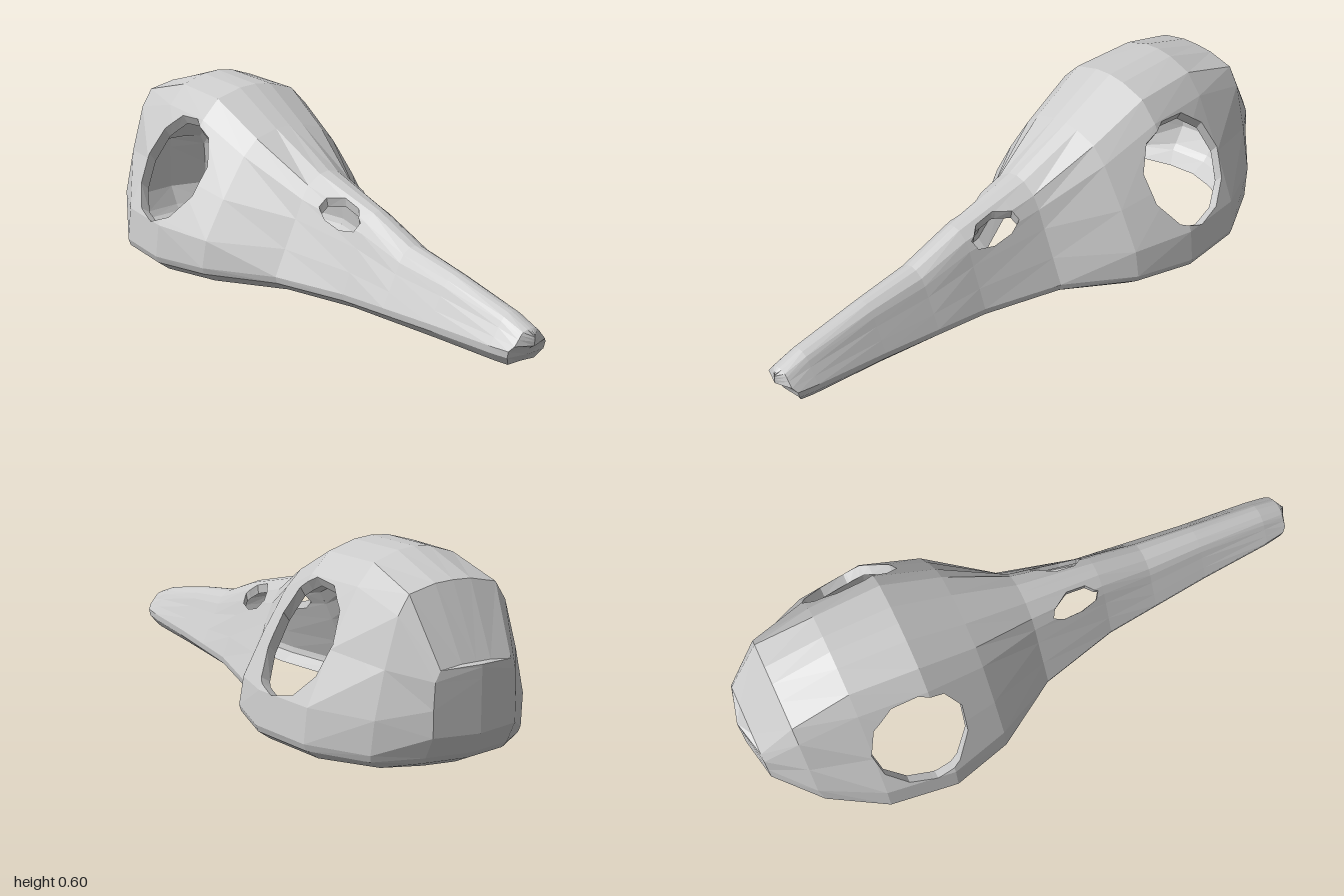
import * as THREE from 'three';

// Half cross-sections as [width fraction, height fraction], crown to base
const SHAPES = [
  [[0, 1], [0.35, 1], [0.85, 0.97], [0.97, 0.85], [1, 0.55], [1, 0.25], [1, 0]],               // back plate
  [[0, 1], [0.15, 0.99], [0.37, 0.94], [0.52, 0.82], [0.77, 0.5], [0.97, 0.2], [1, 0]],        // cranium
  [[0, 1], [0.16, 0.98], [0.38, 0.88], [0.5, 0.75], [0.62, 0.56], [0.82, 0.27], [1, 0]],       // beak
];
// Stations along the skull: x, half width, height, shape blend, undercut of the base
const STATIONS = [
  [-1, 0, 0.33, 0, 0.1], [-0.97, 0.145, 0.33, 0, 0.09], [-0.85, 0.27, 0.545, 0.6, 0.03],
  [-0.65, 0.38, 0.605, 1, 0], [-0.42, 0.41, 0.595, 1, 0], [-0.22, 0.355, 0.49, 1.1, 0],
  [0, 0.215, 0.38, 2, 0], [0.27, 0.145, 0.305, 2, 0], [0.45, 0.125, 0.235, 2, 0],
  [0.65, 0.103, 0.2, 2, 0], [0.9, 0.083, 0.145, 2, 0], [0.98, 0.073, 0.115, 2, -0.03],
  [1, 0, 0.1, 2, -0.05],
];
const BASE = 0.055;
const UNDERCUT = [0, 0, 0, 0, 0, 0, 0.4, 0.6, 1.2];

// Points of one half section, including the lip that curls in under the base
function section([x, w, h, t, cut]) {
  const k = Math.min(1, Math.floor(t));
  const pts = SHAPES[k].map(([z, y], i) => {
    const [z2, y2] = SHAPES[k + 1][i];
    return [THREE.MathUtils.lerp(z, z2, t - k) * w,
      BASE + (h - BASE) * THREE.MathUtils.lerp(y, y2, t - k)];
  });
  pts.push([w * 0.98, 0.033], [w - Math.min(0.05, w * 0.3), 0.003]);
  return pts.map(([z, y], i) => new THREE.Vector3(x + cut * UNDERCUT[i], y, z));
}

// Convex hole outline in the side plane, counterclockwise
function hole(cx, cy, rx, ry, sides, tilt) {
  return Array.from({ length: sides }, (_, i) => {
    const a = (i / sides) * Math.PI * 2 + 0.2;
    const x = rx * Math.cos(a), y = ry * Math.sin(a);
    return new THREE.Vector2(cx + x, cy + y + x * tilt);
  });
}

const sideOf = (p, a, b) =>
  ((b.x - a.x) * (p.y - a.y) - (b.y - a.y) * (p.x - a.x)) / a.distanceTo(b);

// Split a polygon by a line into its [inside, outside] parts
function split(poly, a, b) {
  const inside = [], outside = [];
  poly.forEach((p, i) => {
    const q = poly[(i + 1) % poly.length];
    const d = sideOf(p, a, b), e = sideOf(q, a, b);
    (d >= 0 ? inside : outside).push(p);
    if ((d >= 0) !== (e >= 0)) {
      const m = p.clone().lerp(q, d / (d - e));
      inside.push(m);
      outside.push(m);
    }
  });
  return [inside, outside];
}

// Cut a hole from polygons; edges left on the outline are added to rim
function cutHole(polys, outline, rim) {
  const kept = [];
  for (const poly of polys) {
    let rest = poly;
    const pieces = [];
    outline.forEach((a, i) => {
      if (rest.length < 3) return;
      const [inside, outside] = split(rest, a, outline[(i + 1) % outline.length]);
      if (outside.length > 2) pieces.push(outside);
      rest = inside;
    });
    if (rest.length < 3) { kept.push(poly); continue; }
    kept.push(...pieces);
    rest.forEach((p, j) => {
      const q = rest[(j + 1) % rest.length];
      const onEdge = outline.some((a, i) => {
        const b = outline[(i + 1) % outline.length];
        return Math.abs(sideOf(p, a, b)) < 1e-6 && Math.abs(sideOf(q, a, b)) < 1e-6;
      });
      if (onEdge && p.distanceTo(q) > 1e-6) rim.push([p, q]);
    });
  }
  return kept;
}

// Matching point on the inner wall
const inner = (p) => new THREE.Vector3(
  p.x - 0.025 * p.x ** 5, p.y - 0.03 * Math.min(1, p.y / 0.3), p.z * 0.92);
const mirror = (poly) => poly.map((p) => new THREE.Vector3(p.x, p.y, -p.z)).reverse();
const wall = ([p, q]) => [p, q, inner(q), inner(p)];

function meshOf(name, polys) {
  const pos = [];
  for (const poly of polys)
    for (let i = 1; i < poly.length - 1; i++)
      for (const p of [poly[0], poly[i], poly[i + 1]]) pos.push(p.x, p.y, p.z);
  const geo = new THREE.BufferGeometry();
  geo.setAttribute('position', new THREE.Float32BufferAttribute(pos, 3));
  geo.computeVertexNormals();
  const mesh = new THREE.Mesh(geo, new THREE.MeshStandardMaterial({
    color: 0xcccccc, flatShading: true, side: THREE.DoubleSide }));
  mesh.name = name;
  return mesh;
}

export function createModel() {
  const rows = STATIONS.map(section);
  let polys = [];
  const lip = [], eyeRim = [], nostrilRim = [];

  // Loft the left half between stations
  for (let s = 0; s < rows.length - 1; s++) {
    const A = rows[s], B = rows[s + 1], last = A.length - 1;
    for (let i = 0; i < last; i++) {
      polys.push([A[i], A[i + 1], B[i + 1]], [A[i], B[i + 1], B[i]]);
    }
    lip.push([A[last], B[last]]);
  }
  // Drop slivers where the ends close on the centre line
  polys = polys.filter(([a, b, c]) => new THREE.Triangle(a, b, c).getArea() > 1e-7);

  // Eye sockets and nostrils
  polys = cutHole(polys, hole(-0.49, 0.33, 0.165, 0.17, 11, 0), eyeRim);
  polys = cutHole(polys, hole(0.163, 0.28, 0.09, 0.042, 8, -0.2), nostrilRim);

  const both = (list) => [...list, ...list.map(mirror)];
  const shell = both(polys);
  const group = new THREE.Group();
  group.name = 'birdSkull';
  group.add(
    meshOf('outerShell', shell),
    meshOf('innerShell', shell.map((poly) => poly.map(inner).reverse())),
    meshOf('eyeSocketRims', both(eyeRim.map(wall))),
    meshOf('nostrilRims', both(nostrilRim.map(wall))),
    meshOf('bottomLip', both(lip.map(wall))),
  );
  return group;
}
